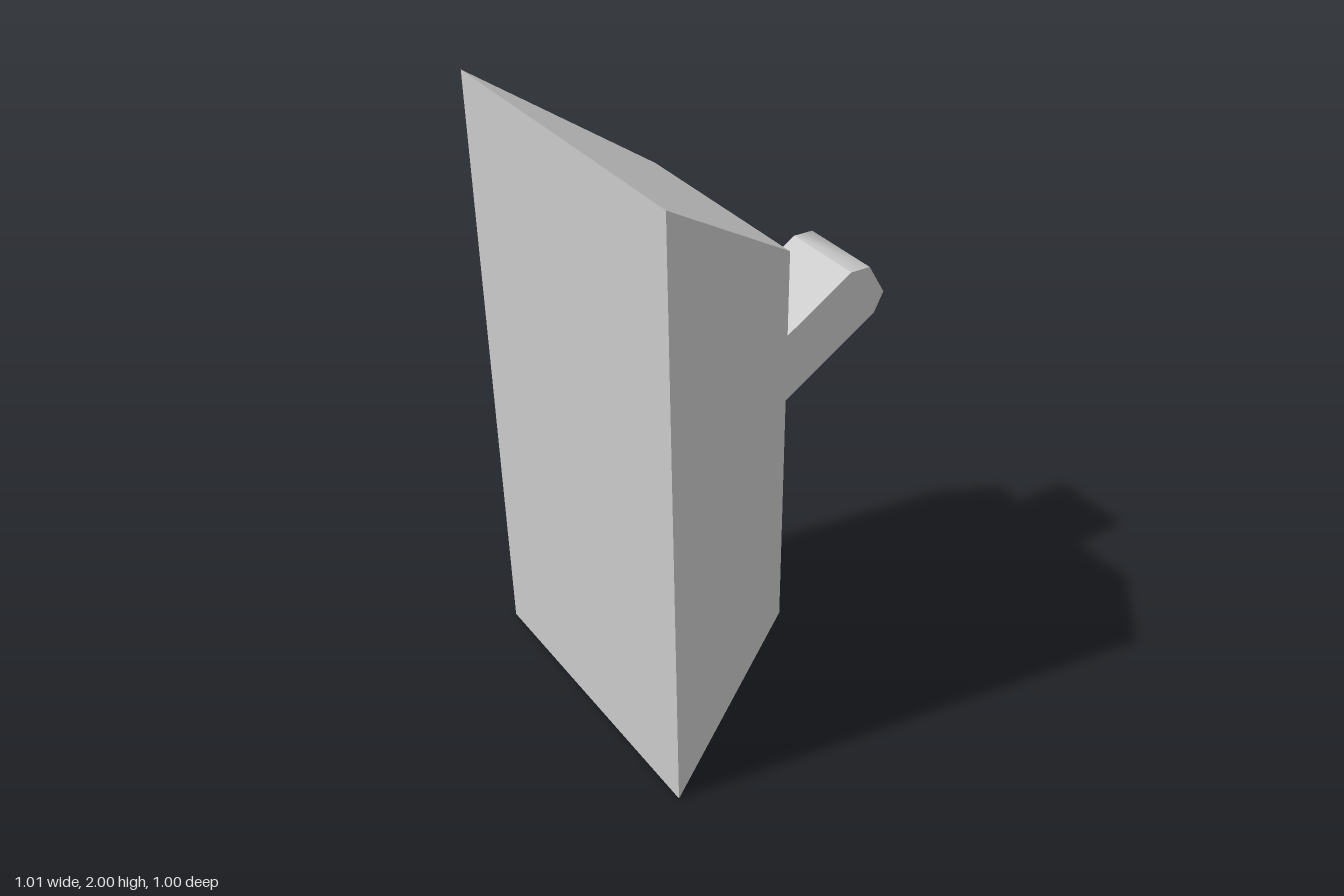
import * as THREE from 'three';
import { toCreasedNormals } from 'three/addons/utils/BufferGeometryUtils.js';

const material = new THREE.MeshStandardMaterial({ color: 0xcccccc });

function part(name, geometry) {
  const mesh = new THREE.Mesh(geometry, material);
  mesh.name = name;
  return mesh;
}

// Side profile in x/y, extruded across z
function extrudeProfile(points, z0, z1, crease) {
  const shape = new THREE.Shape(points.map(([x, y]) => new THREE.Vector2(x, y)));
  const geometry = new THREE.ExtrudeGeometry(shape, { depth: z1 - z0, bevelEnabled: false });
  geometry.translate(0, 0, z0);
  return toCreasedNormals(geometry, crease);
}

export function createModel() {
  const group = new THREE.Group();
  group.name = 'wallSwitch';

  // Base block: a box whose +x face is shrunk in y and z
  const base = new THREE.BoxGeometry(0.507, 2, 1);
  base.translate(-0.2535, 0, 0);
  const p = base.attributes.position;
  for (let i = 0; i < p.count; i++) {
    if (p.getX(i) > -0.1) p.setXYZ(i, 0, p.getY(i) * 0.646, p.getZ(i) * 0.646);
  }
  base.translate(0, 1, 0);
  base.computeVertexNormals();
  group.add(part('baseBlock', base));

  // Lever: straight shank, then a smooth-shaded chamfered tip
  const lever = new THREE.Group();
  lever.name = 'lever';
  const low = [0.475, 1.197], high = [0.375, 1.37];
  const z0 = -0.13, z1 = 0.145;
  lever.add(part('leverShank', extrudeProfile([[0, 0.923], low, high, [0, 1.153]], z0, z1, 0.1)));
  lever.add(part('leverTip', extrudeProfile([low, [0.507, 1.26], [0.446, 1.365], high], z0, z1, 1.05)));
  group.add(lever);

  return group;
}
